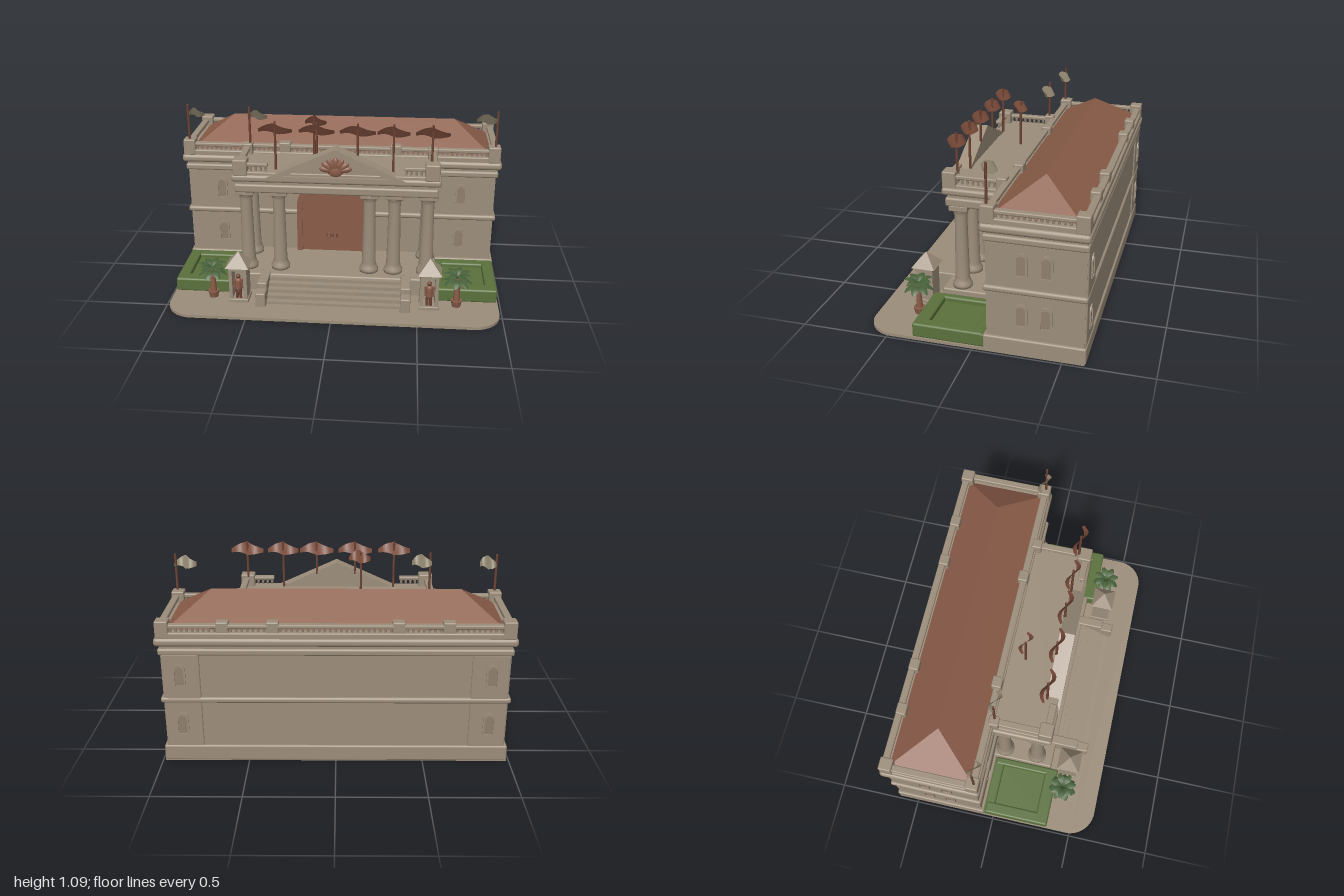
import * as THREE from 'three';
import { mergeGeometries } from 'three/addons/utils/BufferGeometryUtils.js';
import { RoundedBoxGeometry } from 'three/addons/geometries/RoundedBoxGeometry.js';

const mat = (name, color, side = THREE.FrontSide) => {
  const m = new THREE.MeshStandardMaterial({ color, side });
  m.name = name;
  return m;
};

export function createModel() {
  const root = new THREE.Group();
  root.name = 'palaceBuilding';
  const stone = mat('stone', 0x9c8d7a);
  const pane = mat('window stone', 0x8f7f6c);
  const terracotta = mat('terracotta', 0x8a5c48);
  const brown = mat('dark brown', 0x6f4433);
  const redCloth = mat('brown cloth', 0x7c4c3a, THREE.DoubleSide);
  const paleCloth = mat('pale cloth', 0x91866f, THREE.DoubleSide);
  const hedge = mat('hedge green', 0x5b713c);
  const leaf = mat('leaf green', 0x48613a, THREE.DoubleSide);

  const add = (name, geo, material, x = 0, y = 0, z = 0, parent = root) => {
    const m = new THREE.Mesh(geo, material);
    m.name = name;
    m.position.set(x, y, z);
    parent.add(m);
    return m;
  };
  // box given by its limits, softly rounded when r > 0
  const block = (name, material, x0, x1, y0, y1, z0, z1, r = 0, parent = root) => {
    const s = [x1 - x0, y1 - y0, z1 - z0];
    const geo = r ? new RoundedBoxGeometry(...s, 2, r) : new THREE.BoxGeometry(...s);
    return add(name, geo, material, (x0 + x1) / 2, (y0 + y1) / 2, (z0 + z1) / 2, parent);
  };
  const extrude = (shape, depth) => new THREE.ExtrudeGeometry(shape, { depth, bevelEnabled: false, curveSegments: 16 });
  const archShape = (w, h, C = THREE.Shape) => {
    const s = new C(), r = w / 2;
    s.moveTo(-r, 0);
    s.lineTo(r, 0);
    s.lineTo(r, h - r);
    s.absarc(0, h - r, r, 0, Math.PI, false);
    s.lineTo(-r, 0);
    return s;
  };

  // ground slab with rounded front corners
  const slab = new THREE.Shape();
  slab.moveTo(-0.985, 0.62);
  slab.lineTo(-0.985, -0.475);
  slab.absarc(-0.825, -0.475, 0.16, Math.PI, Math.PI * 1.5, false);
  slab.lineTo(0.825, -0.635);
  slab.absarc(0.825, -0.475, 0.16, -Math.PI / 2, 0, false);
  slab.lineTo(0.985, 0.62);
  add('groundSlab', extrude(slab, 0.018), stone).rotation.x = -Math.PI / 2;

  // main block and its horizontal mouldings
  block('plinth', stone, -0.985, 0.985, 0.005, 0.1, -0.627, -0.06, 0.01);
  block('mainWalls', stone, -0.968, 0.968, 0.09, 0.78, -0.615, -0.078);
  block('floorBand', stone, -0.985, 0.985, 0.37, 0.405, -0.628, -0.062, 0.014);
  block('architrave', stone, -0.982, 0.982, 0.66, 0.7, -0.626, -0.064, 0.012);
  block('cornice', stone, -1, 1, 0.715, 0.765, -0.635, -0.05, 0.02);
  block('parapetBase', stone, -0.985, 0.985, 0.755, 0.795, -0.626, -0.062, 0.008);
  for (const s of [-1, 1]) {
    block('backCornerBay', stone, s * 0.86 - 0.105, s * 0.86 + 0.105, 0.1, 0.67, -0.624, -0.6, 0.008);
  }

  // hipped roof
  const V = [[-0.945, 0.79, -0.095], [0.945, 0.79, -0.095], [0.945, 0.79, -0.585], [-0.945, 0.79, -0.585], [0.71, 0.955, -0.34], [-0.71, 0.955, -0.34]];
  const faces = [0, 1, 4, 0, 4, 5, 1, 2, 4, 2, 3, 5, 2, 5, 4, 3, 0, 5];
  const roof = new THREE.BufferGeometry();
  roof.setAttribute('position', new THREE.Float32BufferAttribute(faces.flatMap(i => V[i]), 3));
  roof.computeVertexNormals();
  add('hippedRoof', roof, terracotta);

  // balustrades: top rail with a row of small balusters
  const balusters = [];
  const balustrade = (x0, z0, x1, z1) => {
    const alongX = Math.abs(x1 - x0) > Math.abs(z1 - z0), t = 0.02;
    const dx = alongX ? 0 : t, dz = alongX ? t : 0;
    block('balustradeRail', stone, Math.min(x0, x1) - dx, Math.max(x0, x1) + dx, 0.818, 0.84, Math.min(z0, z1) - dz, Math.max(z0, z1) + dz, 0.006);
    const n = Math.max(2, Math.round(Math.hypot(x1 - x0, z1 - z0) / 0.03));
    for (let i = 0; i < n; i++) {
      const f = (i + 0.5) / n;
      balusters.push(new THREE.CylinderGeometry(0.011, 0.006, 0.035, 6).translate(x0 + (x1 - x0) * f, 0.805, z0 + (z1 - z0) * f));
    }
  };
  const post = (x, z, w = 0.07, d = 0.06, top = 0.855) => block('parapetPost', stone, x - w / 2, x + w / 2, 0.76, top, z - d / 2, z + d / 2, 0.008);
  balustrade(-0.95, -0.09, 0.95, -0.09);
  balustrade(-0.95, -0.6, 0.95, -0.6);
  for (const s of [-1, 1]) {
    balustrade(s * 0.96, -0.6, s * 0.96, -0.09);
    balustrade(s * 0.575, -0.06, s * 0.575, 0.25);
    balustrade(s * 0.575, 0.25, s * 0.4, 0.25);
    for (const z of [-0.095, -0.59]) {
      post(s * 0.95, z, 0.075, 0.075, 0.862);
      post(s * 0.345, z);
    }
    post(s * 0.62, -0.59);
    post(s * 0.565, 0.243, 0.085, 0.08, 0.862);
    post(s * 0.575, -0.06, 0.06, 0.06);
  }
  add('balusters', mergeGeometries(balusters), stone);

  // arched windows
  const frameShape = archShape(0.07, 0.13);
  frameShape.holes.push(archShape(0.05, 0.115, THREE.Path));
  const frameGeo = extrude(frameShape, 0.009), paneGeo = extrude(archShape(0.052, 0.117), 0.003);
  const windowAt = (x, y, z, turn) => {
    const g = new THREE.Group();
    g.name = 'archedWindow';
    add('windowFrame', frameGeo, stone, 0, 0, 0, g);
    add('windowPane', paneGeo, pane, 0, 0, 0, g);
    g.position.set(x, y, z);
    g.rotation.y = turn;
    root.add(g);
  };
  for (const y of [0.18, 0.48]) for (const s of [-1, 1]) {
    for (const z of [-0.27, -0.405]) windowAt(s * 0.967, y, z, s * Math.PI / 2);
    windowAt(s * 0.76, y, -0.079, 0);
    windowAt(s * 0.87, y, -0.623, Math.PI);
  }

  // great arched door
  const frame = archShape(0.45, 0.53);
  frame.holes.push(archShape(0.38, 0.49, THREE.Path));
  add('doorSurround', extrude(frame, 0.04), terracotta, -0.05, 0.125, -0.08);
  add('doorLeaf', extrude(archShape(0.39, 0.5), 0.025), terracotta, -0.05, 0.125, -0.08);
  block('doorKeystone', brown, -0.075, -0.015, 0.61, 0.66, -0.08, -0.03);
  for (const x of [-0.07, -0.03]) add('doorKnocker', new THREE.TorusGeometry(0.014, 0.004, 6, 12), brown, x, 0.24, -0.052);

  // portico platform, steps and cheek walls
  block('porticoPlatform', stone, -0.615, 0.615, 0.01, 0.13, -0.08, 0.3, 0.01);
  for (let i = 0; i < 5; i++) block('step', stone, -0.41, 0.41, 0.01, 0.034 + i * 0.022, 0.28, 0.47 - i * 0.036);
  for (const s of [-1, 1]) {
    block('cheekWall', stone, s * 0.43 - 0.03, s * 0.43 + 0.03, 0.01, 0.14, 0.27, 0.44, 0.008);
    block('cheekWallEnd', stone, s * 0.43 - 0.03, s * 0.43 + 0.03, 0.01, 0.105, 0.4, 0.51, 0.008);
  }

  // columns
  const profile = [[0, 0], [0.058, 0], [0.058, 0.02], [0.05, 0.035], [0.043, 0.06], [0.039, 0.25], [0.036, 0.46], [0.042, 0.475], [0.04, 0.485], [0.056, 0.51], [0, 0.51]];
  const columnGeo = new THREE.LatheGeometry(profile.map(p => new THREE.Vector2(...p)), 20);
  const column = (x, z) => {
    add('column', columnGeo, stone, x, 0.128, z);
    block('columnCapital', stone, x - 0.055, x + 0.055, 0.625, 0.66, z - 0.055, z + 0.055, 0.006);
  };
  for (const x of [-0.55, -0.35, 0.2, 0.35, 0.55]) column(x, 0.195);
  for (const x of [-0.55, 0.55]) column(x, -0.015);

  // portico entablature
  block('porticoArchitrave', stone, -0.605, 0.605, 0.652, 0.705, -0.08, 0.27, 0.012);
  block('porticoFrieze', stone, -0.59, 0.59, 0.69, 0.745, -0.08, 0.258);
  block('porticoCornice', stone, -0.62, 0.62, 0.725, 0.768, -0.08, 0.285, 0.016);
  block('porticoTerrace', stone, -0.6, 0.6, 0.755, 0.785, -0.08, 0.272, 0.006);

  // pediment with raised raking border
  const triangle = (w, h, y, C = THREE.Shape) => {
    const s = new C();
    s.moveTo(-w, y);
    s.lineTo(w, y);
    s.lineTo(0, y + h);
    s.lineTo(-w, y);
    return s;
  };
  add('pediment', extrude(triangle(0.41, 0.185, 0.75), 0.06), stone, 0, 0, 0.205);
  const border = triangle(0.43, 0.195, 0.748);
  border.holes.push(triangle(0.31, 0.138, 0.768, THREE.Path));
  add('pedimentBorder', extrude(border, 0.088), stone, 0, 0, 0.2);
  // leafy relief in the pediment
  for (let i = 0; i < 7; i++) {
    const a = (i - 3) * 0.48;
    const m = add('pedimentRelief', new THREE.SphereGeometry(1, 8, 6), terracotta, Math.sin(a) * 0.055, 0.81 + Math.cos(a) * 0.04, 0.268);
    m.scale.set(0.02, 0.042, 0.014);
    m.rotation.z = -a;
  }
  add('pedimentReliefBase', new THREE.SphereGeometry(0.04, 10, 8), terracotta, 0, 0.805, 0.265).scale.set(1.2, 1, 0.4);

  // flags: tapered, rippled cloth on thin poles
  const flag = (x, z, w, y0, top, cloth, offset) => {
    add('flagPole', new THREE.CylinderGeometry(0.007, 0.008, top - y0, 6), brown, x, (y0 + top) / 2, z);
    const geo = new THREE.PlaneGeometry(w, 0.075, 8, 2), p = geo.attributes.position;
    for (let i = 0; i < p.count; i++) {
      const t = p.getX(i) / (w / 2);
      p.setY(i, p.getY(i) * (1 - 0.7 * Math.abs(t)) - 0.012 * t * t);
      p.setZ(i, 0.025 * Math.sin(t * 3.2) + p.getY(i) * 0.5);
    }
    geo.computeVertexNormals();
    add('flagCloth', geo, cloth, x + offset, 1.035, z);
  };
  for (const [x, w, y0] of [[-0.36, 0.2, 0.78], [-0.115, 0.21, 0.87], [0.125, 0.21, 0.87], [0.335, 0.19, 0.78], [0.56, 0.2, 0.85]]) flag(x, 0.205, w, y0, 1.08, redCloth, 0);
  flag(-0.15, 0.03, 0.13, 0.78, 1.06, redCloth, 0.01);
  flag(-0.95, -0.085, 0.1, 0.85, 1.085, paleCloth, 0.05);
  flag(0.955, -0.085, 0.13, 0.85, 1.085, paleCloth, -0.06);
  flag(-0.56, -0.06, 0.12, 0.85, 1.085, paleCloth, 0.05);

  // tapered, drooping palm frond pointing along +x
  const frond = new THREE.PlaneGeometry(0.09, 0.034, 5, 2);
  const fp = frond.attributes.position;
  for (let i = 0; i < fp.count; i++) {
    const t = fp.getX(i) / 0.09 + 0.5, w = fp.getY(i);
    fp.setXYZ(i, t * 0.085, 0.06 * t - 0.075 * t * t - Math.abs(w) * 0.4, w * (0.2 + 1.3 * Math.sin(Math.PI * Math.min(1, t * 0.95))));
  }
  frond.computeVertexNormals();

  for (const s of [-1, 1]) {
    // hedge bed with raised rim
    const side = (name, a, b, y1, z0, z1) => block(name, hedge, Math.min(s * a, s * b), Math.max(s * a, s * b), 0.015, y1, z0, z1, 0.012);
    side('hedgeBed', 0.62, 0.96, 0.07, -0.06, 0.33);
    side('hedgeOuterRim', 0.91, 0.98, 0.1, -0.055, 0.35);
    side('hedgeFrontRim', 0.618, 0.98, 0.1, 0.27, 0.35);
    side('hedgeBackRim', 0.618, 0.98, 0.095, -0.065, 0);
    side('hedgeInnerRim', 0.615, 0.66, 0.1, -0.055, 0.35);

    // sentry booth, open at the front
    const booth = new THREE.Group();
    booth.name = 'sentryBooth';
    booth.position.set(s * 0.57, 0, 0.41);
    root.add(booth);
    block('boothBase', stone, -0.06, 0.06, 0.01, 0.04, -0.06, 0.06, 0.005, booth);
    block('boothBack', stone, -0.053, 0.053, 0.03, 0.25, -0.053, -0.035, 0, booth);
    for (const k of [-1, 1]) block('boothSide', stone, k * 0.044 - 0.01, k * 0.044 + 0.01, 0.03, 0.25, -0.053, 0.053, 0, booth);
    block('boothLintel', stone, -0.053, 0.053, 0.225, 0.255, -0.053, 0.053, 0, booth);
    const cap = new THREE.ConeGeometry(0.1, 0.085, 4, 1).rotateY(Math.PI / 4).toNonIndexed();
    cap.computeVertexNormals();
    add('boothRoof', cap, stone, 0, 0.29, 0, booth);
    // guard figure
    add('guardBody', new THREE.CapsuleGeometry(0.02, 0.05, 4, 10), terracotta, 0, 0.13, 0.035, booth);
    add('guardHead', new THREE.SphereGeometry(0.014, 10, 8), brown, 0, 0.185, 0.035, booth);
    for (const k of [-1, 1]) {
      add('guardLeg', new THREE.CylinderGeometry(0.009, 0.009, 0.065, 8), brown, k * 0.01, 0.07, 0.035, booth);
      add('guardArm', new THREE.CylinderGeometry(0.006, 0.006, 0.06, 6), terracotta, k * 0.023, 0.135, 0.038, booth);
    }

    // potted palm
    const palm = new THREE.Group();
    palm.name = 'pottedPalm';
    palm.position.set(s * 0.735, 0, 0.4);
    root.add(palm);
    add('pot', new THREE.CylinderGeometry(0.034, 0.026, 0.04, 12), terracotta, 0, 0.038, 0, palm);
    add('palmTrunk', new THREE.CylinderGeometry(0.011, 0.022, 0.15, 8), terracotta, 0, 0.125, 0, palm);
    for (let i = 0; i < 14; i++) {
      const f = add('palmFrond', frond, leaf, 0, 0.19 + (i % 2) * 0.015, 0, palm);
      f.rotation.set(0, i * Math.PI / 7, i % 2 ? 0.6 : 0, 'YXZ');
    }
  }
  return root;
}
